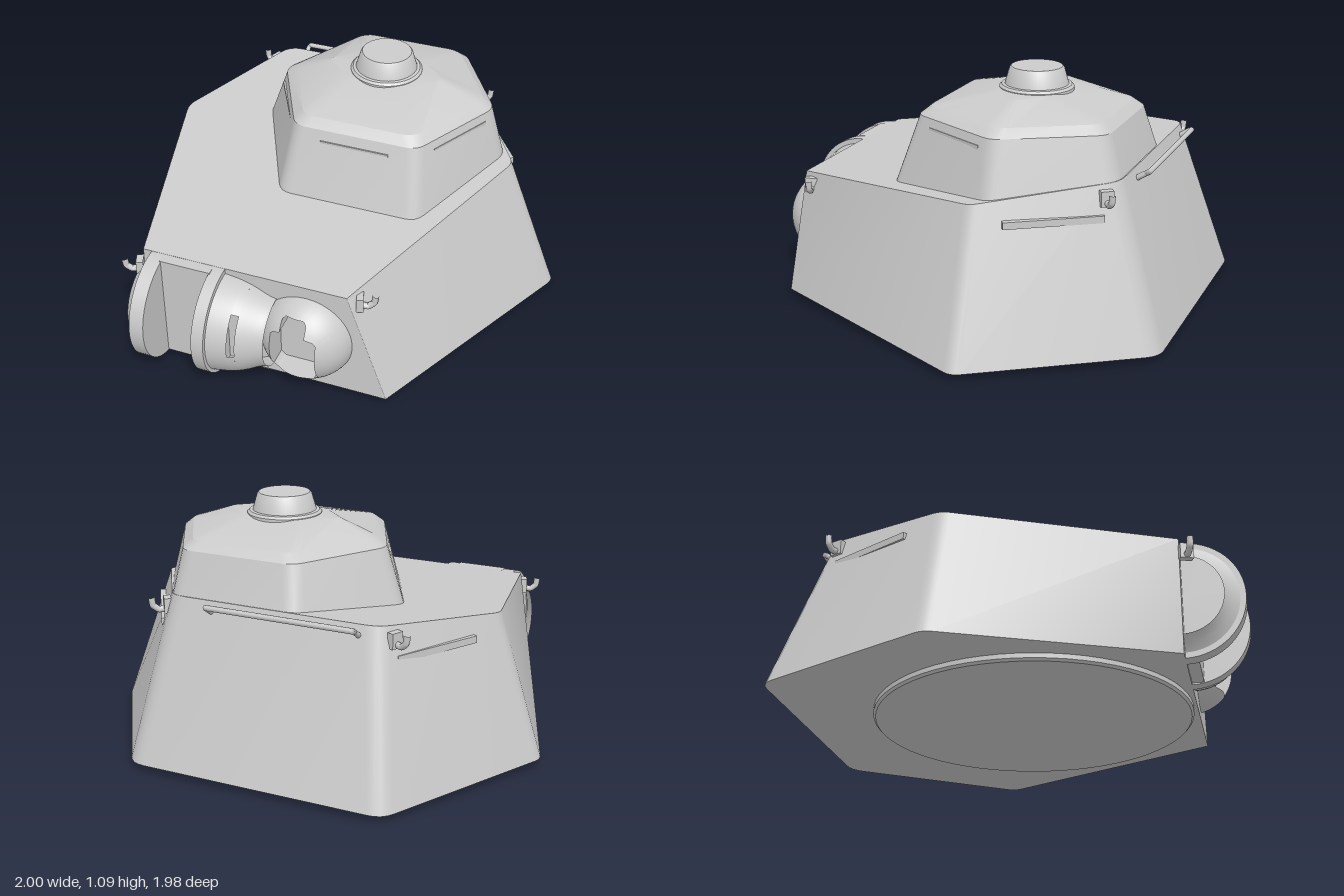
import * as THREE from 'three';
import { toCreasedNormals } from 'three/addons/utils/BufferGeometryUtils.js';

const grey = new THREE.MeshStandardMaterial({ color: 0xcccccc });
const greyDouble = new THREE.MeshStandardMaterial({ color: 0xcccccc, side: THREE.DoubleSide });
const V = (x, y, z) => new THREE.Vector3(x, y, z);

// Height of the sloping roof at depth z
const roofY = (z) => 0.54 + (0.74 - z) * 0.119;

// Replace each corner [x, y, z, r] by a short curve of size r
function rounded(corners, n = 4) {
  const pts = corners.map((c) => V(c[0], c[1], c[2]));
  const out = [];
  pts.forEach((p, i) => {
    const r = corners[i][3] ?? 0.04;
    const toward = (q) => p.clone().add(q.clone().sub(p).setLength(r));
    const a = toward(pts[(i + pts.length - 1) % pts.length]);
    const b = toward(pts[(i + 1) % pts.length]);
    out.push(...new THREE.QuadraticBezierCurve3(a, p, b).getPoints(n));
  });
  return out;
}

// Skin closed rings of equal length, optionally closing both ends
function loft(rings, caps = true, crease = 0.5) {
  const pos = [];
  const tri = (...ps) => ps.forEach((p) => pos.push(p.x, p.y, p.z));
  const n = rings[0].length;
  for (let i = 0; i < rings.length - 1; i++) {
    for (let j = 0; j < n; j++) {
      const k = (j + 1) % n;
      tri(rings[i][j], rings[i][k], rings[i + 1][k]);
      tri(rings[i][j], rings[i + 1][k], rings[i + 1][j]);
    }
  }
  if (caps) {
    const first = rings[0], last = rings[rings.length - 1];
    const mid = (ring) => ring.reduce((s, p) => s.add(p), V(0, 0, 0)).divideScalar(n);
    const m0 = mid(first), m1 = mid(last);
    for (let j = 0; j < n; j++) {
      const k = (j + 1) % n;
      tri(m0, first[k], first[j]);
      tri(m1, last[j], last[k]);
    }
  }
  const g = new THREE.BufferGeometry();
  g.setAttribute('position', new THREE.Float32BufferAttribute(pos, 3));
  return toCreasedNormals(g, crease);
}

export function createModel() {
  const model = new THREE.Group();
  const add = (name, geo, mat = grey, parent = model) => {
    const m = new THREE.Mesh(geo, mat);
    m.name = name;
    parent.add(m);
    return m;
  };
  const lathe = (pts, seg, start = 0, len = Math.PI * 2) =>
    new THREE.LatheGeometry(pts.map(([r, y]) => new THREE.Vector2(r, y)), seg, start, len);
  const tube = (pts, r, seg = 20) =>
    new THREE.TubeGeometry(new THREE.CatmullRomCurve3(pts, false, 'catmullrom', 0.2), seg, r, 8);

  // Sloped six-sided body with a tilted roof
  const S = 0.002;
  const bottom = [[-0.59, 0.74, S], [0.52, 0.74, S], [1.01, -0.28], [0.52, -0.99, 0.06], [-0.63, -0.99, 0.06], [-1.01, -0.2]];
  const top = [[-0.58, 0.74, S], [0.34, 0.74, S], [0.77, -0.26], [0.43, -0.77, 0.06], [-0.51, -0.77, 0.06], [-0.805, -0.2]];
  add('body', loft([
    rounded(bottom.map(([x, z, r]) => [x, 0.03, z, r])),
    rounded(top.map(([x, z, r]) => [x, roofY(z), z, r])),
  ]));

  // Turning ring under the body
  const ring = add('turretRing', toCreasedNormals(lathe([[0, 0], [0.685, 0], [0.695, 0.01], [0.695, 0.035], [0, 0.035]], 64), 0.5));
  ring.position.set(-0.035, 0, 0.03);

  // Cupola: hexagonal wall, bevelled shoulder and shallow dome
  const hex = (xl, xr, zm, xf0, xf1, zf, xb0, xb1, zb, y, r) => rounded(
    [[xf0, zf], [xf1, zf], [xr, zm], [xb1, zb], [xb0, zb], [xl, zm]]
      .map(([x, z]) => [x, y ?? roofY(z) - 0.002, z, r]));
  add('cupola', loft([
    hex(-0.42, 0.72, -0.31, -0.16, 0.47, 0.23, -0.14, 0.43, -0.765, null, 0.05),
    hex(-0.335, 0.655, -0.3, -0.125, 0.43, 0.13, -0.105, 0.41, -0.71, 0.9, 0.05),
    hex(-0.28, 0.61, -0.3, -0.1, 0.4, 0.09, -0.075, 0.385, -0.67, 0.935, 0.05),
    hex(-0.12, 0.42, -0.295, 0.02, 0.28, -0.165, 0.02, 0.28, -0.42, 1.0, 0.03),
  ], true, 0.35));

  // Round vent cap on the cupola
  const cap = add('ventCap', toCreasedNormals(lathe(
    [[0.16, 0.985], [0.16, 1.003], [0.15, 1.013], [0.137, 1.015], [0.117, 1.082], [0.11, 1.09], [0, 1.09]], 48), 0.5));
  cap.position.set(0.15, 0, -0.3);

  // Thin vision slits on the three front faces of the cupola
  const strip = (name, a, b, h, d) => {
    const m = add(name, new THREE.BoxGeometry(a.distanceTo(b), h, d));
    m.position.copy(a).lerp(b, 0.5);
    m.rotation.y = -Math.atan2(b.z - a.z, b.x - a.x);
  };
  strip('visionSlitFront', V(0, 0.85, 0.143), V(0.31, 0.85, 0.143), 0.01, 0.015);
  strip('visionSlitRight', V(-0.32, 0.855, -0.24), V(-0.17, 0.855, 0.045), 0.018, 0.015);
  strip('visionSlitLeft', V(0.48, 0.855, 0.045), V(0.63, 0.855, -0.24), 0.018, 0.015);

  // Rain strips on the rear side faces
  strip('rainStripLeft', V(0.5, 0.58, -0.73), V(0.735, 0.58, -0.385), 0.03, 0.025);
  strip('rainStripRight', V(-0.565, 0.58, -0.72), V(-0.755, 0.58, -0.36), 0.03, 0.025);

  // Rear handrail
  add('rearRail', tube([V(-0.43, 0.67, -0.77), V(-0.43, 0.705, -0.825), V(-0.41, 0.71, -0.835), V(0.215, 0.71, -0.835),
    V(0.235, 0.705, -0.825), V(0.235, 0.67, -0.77)], 0.012, 60));

  // Lifting hooks: a base plate with a bent prong
  const hook = (name, x, y, z, dx, dz) => {
    const g = new THREE.Group();
    g.name = name;
    add('hookPlate', new THREE.BoxGeometry(0.055, 0.065, 0.03), grey, g).position.z = -0.005;
    add('hookProng', tube([V(0, -0.015, 0), V(0, -0.02, 0.03), V(0, 0, 0.055), V(0, 0.035, 0.06)], 0.014), grey, g);
    g.position.set(x, y, z);
    g.rotation.y = Math.atan2(dx, dz);
    model.add(g);
  };
  hook('hookFrontRight', -0.59, 0.475, 0.77, -0.9, 0.35);
  hook('hookFrontLeft', 0.385, 0.495, 0.69, 0.9, -0.3);
  hook('hookRearRight', -0.565, 0.66, -0.725, -0.9, -0.35);
  hook('hookRearLeft', 0.485, 0.66, -0.735, 0.75, -0.6);

  // Gun mount: two rounded cheeks around an open bay
  const cheek = (name, x0, x1, r) => {
    const g = new THREE.CylinderGeometry(r, r, x1 - x0, 64).rotateZ(Math.PI / 2);
    add(name, g).position.set((x0 + x1) / 2, 0.285, 0.74);
  };
  cheek('mountCheekRight', -0.54, -0.475, 0.254);
  cheek('mountCheekLeft', -0.255, -0.2, 0.254);
  add('mountBayBack', new THREE.BoxGeometry(0.23, 0.5, 0.06)).position.set(-0.365, 0.289, 0.76);
  // Flared foot joining the outer cheek to the body side
  const foot = lathe([[0.254, -0.6], [0.17, -0.6], [0.2, -0.565], [0.254, -0.538]].slice(1), 32, -Math.PI / 2, Math.PI);
  add('mountFoot', foot.rotateZ(-Math.PI / 2), greyDouble).position.set(0.01, 0.285, 0.74);

  // Tapered sleeve beside the bay, with an upright sight slot
  const sleeve = (pts, a, b) => {
    const g = lathe(pts.map(([x, r]) => [r, x]), 32, a, b - a).rotateZ(-Math.PI / 2);
    add('sightSleeve', g, greyDouble).position.set(0, 0.28, 0.74);
  };
  const H = Math.PI / 2;
  sleeve([[-0.2, 0.235], [-0.14, 0.226], [-0.11, 0.219]], -H, H);
  sleeve([[-0.11, 0.219], [-0.08, 0.209]], -H, -0.81);
  sleeve([[-0.11, 0.219], [-0.08, 0.209]], 0.09, H);
  sleeve([[-0.08, 0.209], [-0.05, 0.196], [-0.02, 0.18], [0.01, 0.168], [0.03, 0.165]], -H, H);

  // Ball mount with a keyhole opening reaching back to the front plate
  const cx = 0.16, cy = 0.28, cz = 0.69, R = 0.212;
  const keyhole = new THREE.Shape([
    [0.045, 0.16], [0.045, 0.355], [0.06, 0.37], [0.09, 0.38], [0.09, 0.425], [0.105, 0.44], [0.185, 0.44],
    [0.2, 0.425], [0.2, 0.38], [0.235, 0.37], [0.25, 0.355], [0.25, 0.16], [0.23, 0.14], [0.065, 0.14], [0.045, 0.16],
  ].map(([x, y]) => new THREE.Vector2(x, y)));
  const edge = keyhole.getSpacedPoints(120).slice(0, -1);
  const rings = [edge.map((p) => V(p.x, p.y, 0.735))];
  for (let k = 0; k <= 10; k++) {
    rings.push(edge.map((p) => {
      const dx = p.x - cx, dy = p.y - cy, d = Math.hypot(dx, dy);
      const polar = THREE.MathUtils.lerp(Math.asin(d / R), Math.PI / 2, k / 10);
      const s = (R * Math.sin(polar)) / d;
      return V(cx + dx * s, cy + dy * s, cz + R * Math.cos(polar));
    }));
  }
  add('ballMount', loft(rings, false, 0.6), greyDouble);

  return model;
}
